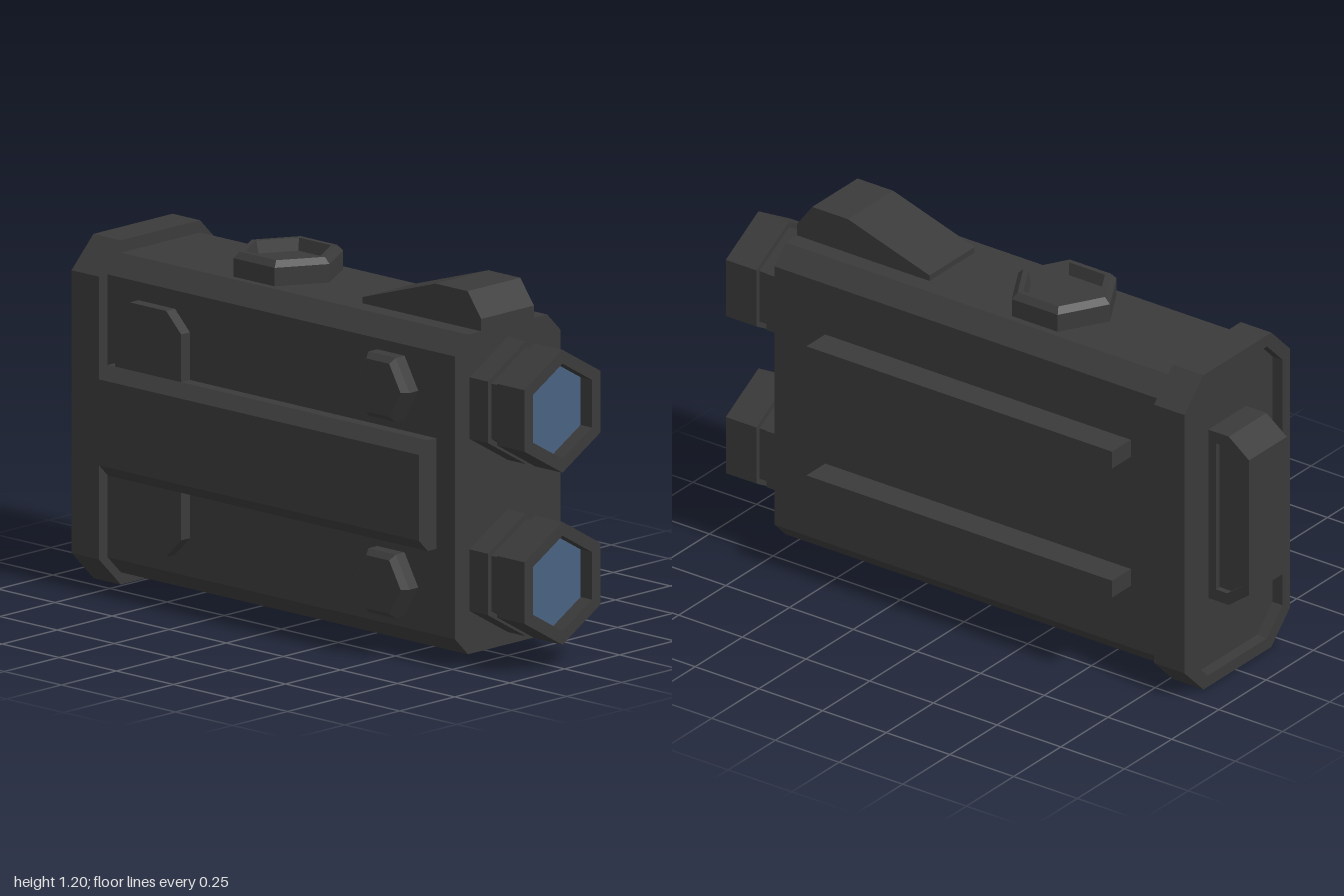
import * as THREE from 'three';

const CX = -0.01; // centre line of the casing

const casing = new THREE.MeshStandardMaterial({ color: 0x3a3a3a });
casing.name = 'charcoal casing';
casing.flatShading = true;
const glass = new THREE.MeshStandardMaterial({ color: 0x486180 });
glass.name = 'blue glass';

const toShape = (pts, hole) => {
  const s = new THREE.Shape(pts.map(([a, b]) => new THREE.Vector2(a, b)));
  if (hole) s.holes.push(new THREE.Path(hole.map(([a, b]) => new THREE.Vector2(a, b))));
  return s;
};

// Prism along z from (x, y) points
function prismZ(pts, z0, z1, hole) {
  const g = new THREE.ExtrudeGeometry(toShape(pts, hole), { depth: z1 - z0, bevelEnabled: false });
  return g.translate(0, 0, z0);
}

// Prism along x from (z, y) points
function prismX(pts, x0, x1, hole) {
  const flip = (list) => list && list.map(([z, y]) => [-z, y]);
  const g = new THREE.ExtrudeGeometry(toShape(flip(pts), flip(hole)), { depth: x1 - x0, bevelEnabled: false });
  return g.rotateY(Math.PI / 2).translate(x0, 0, 0);
}

// Rectangle with cut corners
function cutRect(a0, a1, b0, b1, c, d = c) {
  return [[a0 + c, b0], [a1 - c, b0], [a1, b0 + d], [a1, b1 - d],
    [a1 - c, b1], [a0 + c, b1], [a0, b1 - d], [a0, b0 + d]];
}

// Six-sided turned part from (radius, height) points
const hexLathe = (pts) =>
  new THREE.LatheGeometry(pts.map(([r, h]) => new THREE.Vector2(r, h)), 6);

export function createModel() {
  const model = new THREE.Group();
  model.name = 'device';
  const add = (name, geometry, material = casing, parent = model) => {
    const m = new THREE.Mesh(geometry, material);
    m.name = name;
    parent.add(m);
    return m;
  };

  // Main casing with chamfered long edges
  add('body', prismZ(cutRect(-0.25, 0.23, 0.04, 1.08, 0.06), -0.8, 0.76));

  // Rear end cap: solid plate plus raised rim
  const capOutline = cutRect(-0.29, 0.27, 0, 1.12, 0.1);
  add('rearCap', prismZ(capOutline, -0.84, -0.76));
  add('rearRim', prismZ(capOutline, -0.88, -0.84, cutRect(-0.25, 0.23, 0.04, 1.08, 0.083)));

  // Rear grip: narrow core between two side frames
  const gripOutline = [[-0.84, 0.28], [-0.92, 0.28], [-1, 0.34], [-1, 0.82], [-0.92, 0.88], [-0.84, 0.88]];
  const gripPocket = [[-0.87, 0.32], [-0.915, 0.32], [-0.97, 0.36], [-0.97, 0.8], [-0.915, 0.84], [-0.87, 0.84]];
  add('rearGripCore', prismX(gripOutline, CX - 0.08, CX + 0.08));
  for (const [x0, x1] of [[CX - 0.1, CX - 0.08], [CX + 0.08, CX + 0.1]]) {
    add('rearGripSideFrame', prismX(gripOutline, x0, x1, gripPocket));
  }

  // Two hexagonal eyepieces with a groove and recessed lens
  for (const y of [0.84, 0.28]) {
    const eye = new THREE.Group();
    eye.name = 'eyepiece';
    eye.position.set(CX, y, 0);
    add('barrel', hexLathe([[0.2, 0.75], [0.2, 0.84], [0.18, 0.84], [0.18, 0.88],
      [0.2, 0.88], [0.2, 1], [0.155, 1], [0.155, 0.945]]).rotateX(Math.PI / 2), casing, eye);
    add('lens', new THREE.CircleGeometry(0.156, 6, Math.PI / 2).translate(0, 0, 0.95), glass, eye);
    model.add(eye);
  }

  // Wedge on the top front
  add('topWedge', prismX([[0.76, 1.06], [0.76, 1.12], [0.7, 1.2], [0.56, 1.2],
    [0.24, 1.1], [0.24, 1.06]], -0.13, 0.11));

  // Dished hexagonal button on top
  add('topButton', hexLathe([[0.18, 1.07], [0.18, 1.14], [0.16, 1.16], [0.14, 1.16],
    [0.13, 1.12], [0, 1.12]]).translate(CX, 0, -0.2));

  // Two rails on the left side
  for (const y of [0.81, 0.35]) {
    add('sideRail', new THREE.BoxGeometry(0.11, 0.06, 1.2).translate(0.275, y, -0.04));
  }

  // Right side plate: base, slotted face and chamfered edges
  const plate = new THREE.Group();
  plate.name = 'sidePlate';
  model.add(plate);
  add('plateBase', new THREE.BoxGeometry(0.05, 0.36, 1.4).translate(-0.265, 0.56, -0.02), casing, plate);
  add('plateFace', prismX([[-0.72, 0.42], [0.68, 0.42], [0.68, 0.7], [-0.72, 0.7]], -0.33, -0.29,
    cutRect(-0.35, 0.37, 0.46, 0.66, 0.06)), casing, plate);
  for (const [inner, outer] of [[0.7, 0.74], [0.42, 0.38]]) {
    add('plateEdge', prismZ([[-0.33, inner], [-0.29, inner], [-0.29, outer]], -0.72, 0.68), casing, plate);
  }

  // Strap with rounded ends passing under the plate
  add('sideStrap', prismX(cutRect(-0.69, -0.4, 0.16, 0.96, 0.065), -0.29, -0.24));

  // Slotted hexagonal screws
  for (const y of [0.88, 0.24]) {
    const screw = new THREE.Group();
    screw.name = 'screw';
    screw.position.set(0, y, 0.48);
    add('screwHead', hexLathe([[0.12, 0.24], [0.12, 0.29], [0.1, 0.31]]).rotateZ(Math.PI / 2), casing, screw);
    const hex = [0, 1, 2, 3, 4, 5].map((i) =>
      [0.1 * Math.cos(i * Math.PI / 3), 0.1 * Math.sin(i * Math.PI / 3)]);
    const slot = [[-0.06, -0.015], [0.06, -0.015], [0.06, 0.015], [-0.06, 0.015]].map(([a, b]) =>
      [(a - b) * Math.SQRT1_2, (a + b) * Math.SQRT1_2]);
    add('screwFace', prismX(hex, -0.31, -0.285, slot), casing, screw);
    add('slotFloor', prismX(hex, -0.285, -0.25), casing, screw);
    model.add(screw);
  }

  return model;
}
